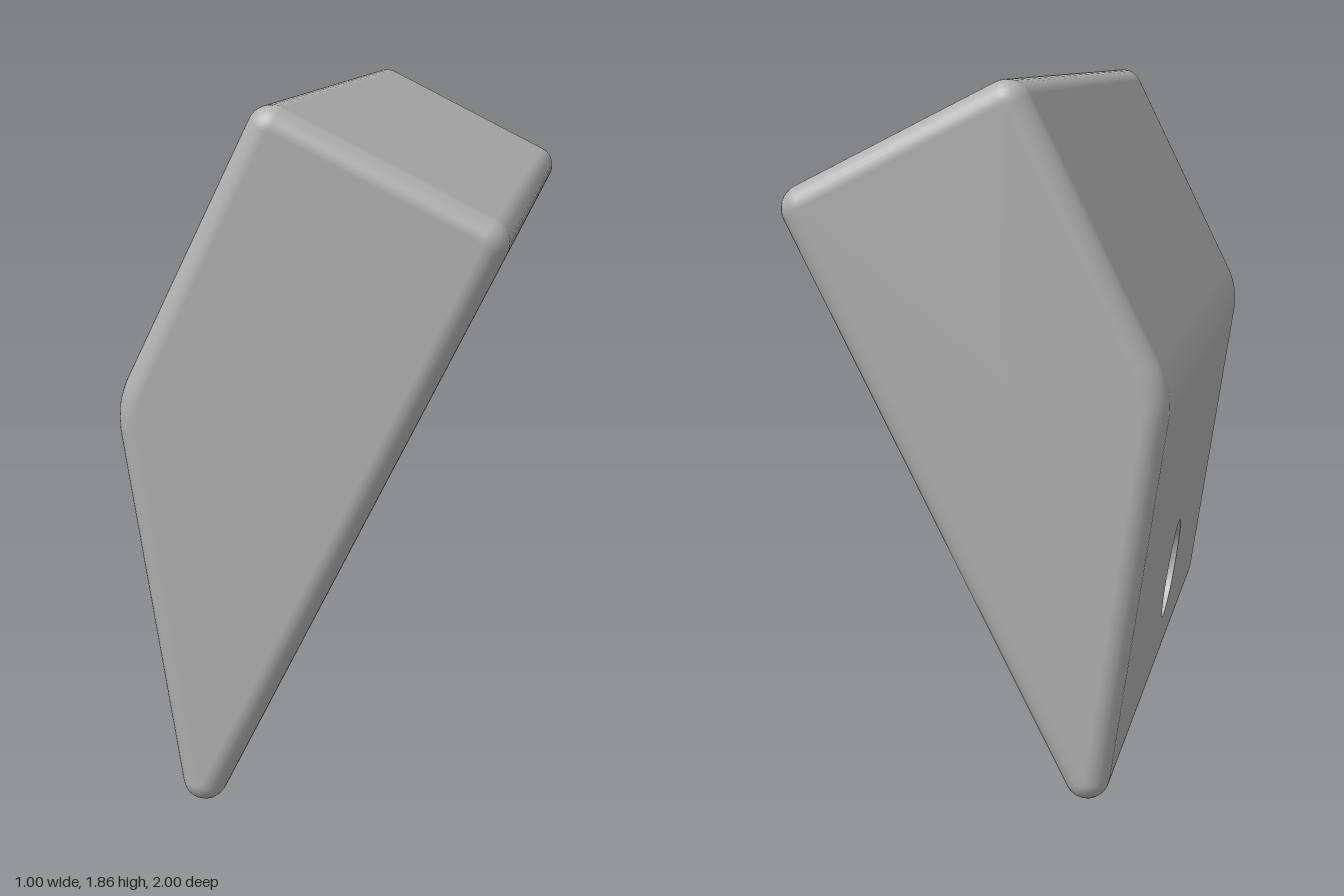
import * as THREE from 'three';

const HALF = 0.94;   // half length of the flat part along z
const EDGE = 0.06;   // rounding of the end edges
const ARC = 8;       // segments per rounded corner

// Sharp profile corners, counter-clockwise, with their rounding radius
const CORNERS = [
  { p: [-0.328, -0.137], r: 0.06 },
  { p: [0.522, 1.564], r: 0.065 },
  { p: [-0.118, 1.884], r: 0.065 },
  { p: [-0.509, 1.097], r: 0.25 },
];

// Arc centre and start/end angle of every corner
function roundCorners() {
  const pts = CORNERS.map(c => new THREE.Vector2(...c.p));
  return pts.map((p, i) => {
    const d0 = p.clone().sub(pts[(i + 3) % 4]).normalize();
    const d1 = pts[(i + 1) % 4].clone().sub(p).normalize();
    const turn = Math.acos(d0.dot(d1));
    const r = CORNERS[i].r;
    const centre = d1.clone().sub(d0).normalize().multiplyScalar(r / Math.cos(turn / 2)).add(p);
    const a0 = Math.atan2(-d0.x, d0.y);
    const at = a => new THREE.Vector2(centre.x + r * Math.cos(a), centre.y + r * Math.sin(a));
    return { centre, r, a0, turn, start: at(a0), end: at(a0 + turn) };
  });
}

function makeGeometry(pos, nor, idx) {
  const g = new THREE.BufferGeometry();
  g.setAttribute('position', new THREE.Float32BufferAttribute(pos, 3));
  g.setAttribute('normal', new THREE.Float32BufferAttribute(nor, 3));
  g.setIndex(idx);
  return g;
}

// Rounded prism; the two drilled sides are left open
function bodyGeometry(corners) {
  const pos = [], nor = [], idx = [];
  const cols = 4 * (ARC + 1), half = ARC + 1, rows = 2 * half;
  for (let j = 0; j < rows; j++) {
    const top = j >= half;
    const phi = (top ? j - half : j - ARC) / ARC * Math.PI / 2;
    const z = (top ? HALF : -HALF) + EDGE * Math.sin(phi);
    for (const c of corners) {
      const r = c.r - EDGE + EDGE * Math.cos(phi);
      for (let k = 0; k <= ARC; k++) {
        const a = c.a0 + c.turn * k / ARC;
        pos.push(c.centre.x + r * Math.cos(a), c.centre.y + r * Math.sin(a), z);
        nor.push(Math.cos(a) * Math.cos(phi), Math.sin(a) * Math.cos(phi), Math.sin(phi));
      }
    }
  }
  for (let j = 0; j < rows - 1; j++) {
    for (let i = 0; i < cols; i++) {
      const drilled = i === ARC || i === cols - 1;
      if (j === half - 1 && drilled) continue;
      const n = (i + 1) % cols, a = j * cols, b = a + cols;
      idx.push(a + i, a + n, b + n, a + i, b + n, b + i);
    }
  }
  // Flat ends
  for (const s of [-1, 1]) {
    const c = pos.length / 3, ring = s < 0 ? 0 : (rows - 1) * cols;
    pos.push(-0.1, 1.1, s * (HALF + EDGE));
    nor.push(0, 0, s);
    for (let i = 0; i < cols; i++) {
      const a = ring + i, b = ring + (i + 1) % cols;
      idx.push(c, s > 0 ? a : b, s > 0 ? b : a);
    }
  }
  return makeGeometry(pos, nor, idx);
}

// Flat side from a to b with the hole outline cut out
function panelGeometry(a, b, rim) {
  const dir = b.clone().sub(a), len = dir.length();
  dir.normalize();
  const shape = new THREE.Shape([[0, -HALF], [len, -HALF], [len, HALF], [0, HALF]]
    .map(q => new THREE.Vector2(...q)));
  shape.holes.push(new THREE.Path(rim.map(p =>
    new THREE.Vector2((p.x - a.x) * dir.x + (p.y - a.y) * dir.y, p.z))));
  const m = new THREE.Matrix4().makeBasis(
    new THREE.Vector3(dir.x, dir.y, 0),
    new THREE.Vector3(0, 0, 1),
    new THREE.Vector3(dir.y, -dir.x, 0)).setPosition(a.x, a.y, 0);
  return new THREE.ShapeGeometry(shape).applyMatrix4(m);
}

export function createModel() {
  const group = new THREE.Group();
  const grey = new THREE.MeshStandardMaterial({ color: 0xb0b0b0 });
  grey.name = 'plain grey';
  const add = (name, geometry) => {
    const mesh = new THREE.Mesh(geometry, grey);
    mesh.name = name;
    group.add(mesh);
  };

  const corners = roundCorners();
  add('roundedBody', bodyGeometry(corners));

  // The hole runs square to the long slanted side, out through the lower side
  const [bottom, right, , left] = corners;
  const u = right.start.clone().sub(bottom.end).normalize();
  const axis = new THREE.Vector2(-u.y, u.x);
  const centre = bottom.end.clone().addScaledVector(u, (0.217 - bottom.end.y) / u.y);
  const e = bottom.start.clone().sub(left.end).normalize();
  const n = new THREE.Vector2(e.y, -e.x);
  const R = 0.129, N = 48, near = [], far = [], pos = [], nor = [], idx = [];
  for (let i = 0; i <= N; i++) {
    const t = i / N * Math.PI * 2, c = Math.cos(t), s = Math.sin(t);
    const p = centre.clone().addScaledVector(u, R * c);
    const k = left.end.clone().sub(p).dot(n) / axis.dot(n);
    const q = p.clone().addScaledVector(axis, k);
    if (i < N) {
      near.push(new THREE.Vector3(p.x, p.y, R * s));
      far.push(new THREE.Vector3(q.x, q.y, R * s));
      const a = 2 * i;
      idx.push(a, a + 2, a + 3, a, a + 3, a + 1);
    }
    pos.push(p.x, p.y, R * s, q.x, q.y, R * s);
    for (let m = 0; m < 2; m++) nor.push(-u.x * c, -u.y * c, -s);
  }
  add('slantedSide', panelGeometry(bottom.end, right.start, near));
  add('lowerSide', panelGeometry(left.end, bottom.start, far));

  // Hole wall, wound to face its own axis
  const v = i => new THREE.Vector3().fromArray(pos, i * 3);
  const faceNormal = v(2).sub(v(0)).cross(v(3).sub(v(0)));
  if (faceNormal.dot(new THREE.Vector3().fromArray(nor, 0)) < 0) idx.reverse();
  add('holeWall', makeGeometry(pos, nor, idx));
  return group;
}
